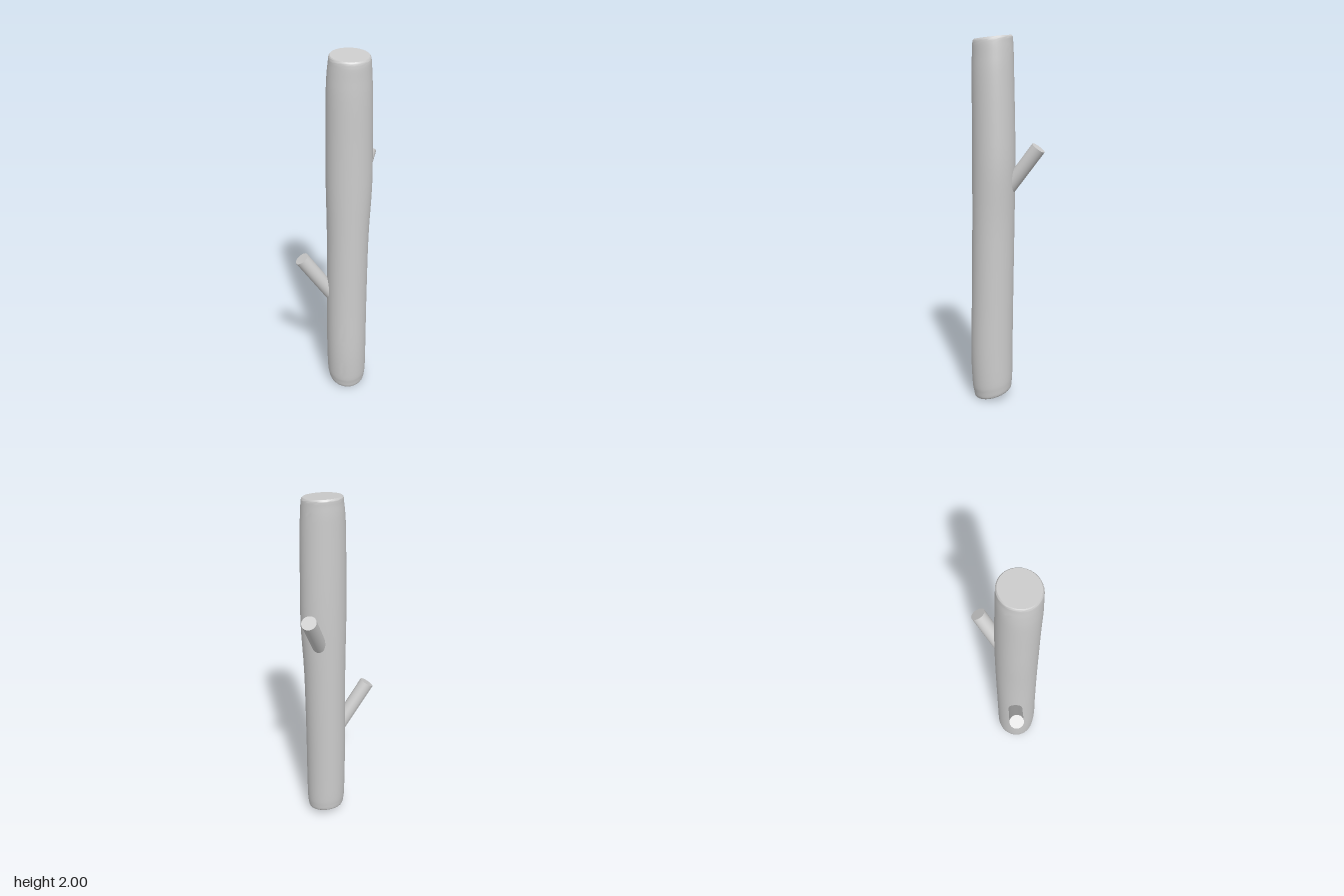
import * as THREE from 'three';
import { toCreasedNormals } from 'three/addons/utils/BufferGeometryUtils.js';

const material = new THREE.MeshStandardMaterial({ color: 0xcccccc });

// Trunk cross-sections: height, centre x, centre z, radius x, radius z
const SECTIONS = [
  [0.029, 0.047, 0.055, 0.09, 0.092],
  [0.039, 0.047, 0.055, 0.102, 0.103],
  [0.07, 0.046, 0.056, 0.108, 0.108],
  [0.12, 0.045, 0.058, 0.112, 0.113],
  [0.3, 0.043, 0.06, 0.114, 0.117],
  [0.6, 0.044, 0.056, 0.114, 0.116],
  [1.0, 0.048, 0.052, 0.115, 0.116],
  [1.3, 0.053, 0.051, 0.124, 0.116],
  [1.55, 0.052, 0.052, 0.122, 0.114],
  [1.8, 0.05, 0.055, 0.118, 0.112],
  [1.9, 0.05, 0.055, 0.113, 0.11],
  [1.955, 0.051, 0.056, 0.108, 0.108],
  [1.98, 0.051, 0.055, 0.105, 0.106],
  [1.989, 0.051, 0.055, 0.099, 0.1],
];

// Loft of smooth rings; both ends are cut at a slant
function trunkGeometry(sides = 40, steps = 52) {
  const spline = (pick) => new THREE.CatmullRomCurve3(
    SECTIONS.map((s) => new THREE.Vector3(...pick(s))), false, 'catmullrom');
  const centres = spline(([y, x, z]) => [x, y, z]);
  const radii = spline(([, , , rx, rz]) => [rx, 0, rz]);
  const positions = [];
  const index = [];
  for (let i = 0; i <= steps; i++) {
    const c = centres.getPoint(i / steps);
    const r = radii.getPoint(i / steps);
    const slant = THREE.MathUtils.lerp(-0.27, -0.11, c.y / 2);
    for (let j = 0; j < sides; j++) {
      const a = (j / sides) * Math.PI * 2;
      const dz = r.z * Math.cos(a);
      positions.push(c.x + r.x * Math.sin(a), c.y + slant * dz, c.z + dz);
    }
  }
  for (let i = 0; i < steps; i++) {
    for (let j = 0; j < sides; j++) {
      const k = (j + 1) % sides;
      const a = i * sides + j, b = i * sides + k;
      index.push(a, b, b + sides, a, b + sides, a + sides);
    }
  }
  // Cut faces as fans
  const bottom = positions.length / 3;
  positions.push(...centres.getPoint(0).toArray(), ...centres.getPoint(1).toArray());
  for (let j = 0; j < sides; j++) {
    const k = (j + 1) % sides;
    index.push(bottom, k, j, bottom + 1, steps * sides + j, steps * sides + k);
  }
  const geometry = new THREE.BufferGeometry();
  geometry.setAttribute('position', new THREE.Float32BufferAttribute(positions, 3));
  geometry.setIndex(index);
  return toCreasedNormals(geometry, 0.6);
}

// Straight stub from inside the trunk to its cut tip
function branch(name, base, tip, radius) {
  const from = new THREE.Vector3(...base);
  const to = new THREE.Vector3(...tip);
  const axis = to.clone().sub(from);
  const mesh = new THREE.Mesh(
    new THREE.CylinderGeometry(radius, radius, axis.length(), 32), material);
  mesh.name = name;
  mesh.position.copy(from).add(to).multiplyScalar(0.5);
  mesh.quaternion.setFromUnitVectors(new THREE.Vector3(0, 1, 0), axis.normalize());
  return mesh;
}

export function createModel() {
  const group = new THREE.Group();
  group.name = 'branchedLog';

  const trunk = new THREE.Mesh(trunkGeometry(), material);
  trunk.name = 'trunk';
  group.add(trunk);

  group.add(branch('lowerBranch', [0.03, 0.52, 0.047], [-0.21, 0.867, 0.047], 0.041));
  group.add(branch('upperBranch', [0.04, 1.07, 0.06], [0.206, 1.416, -0.144], 0.04));
  return group;
}
